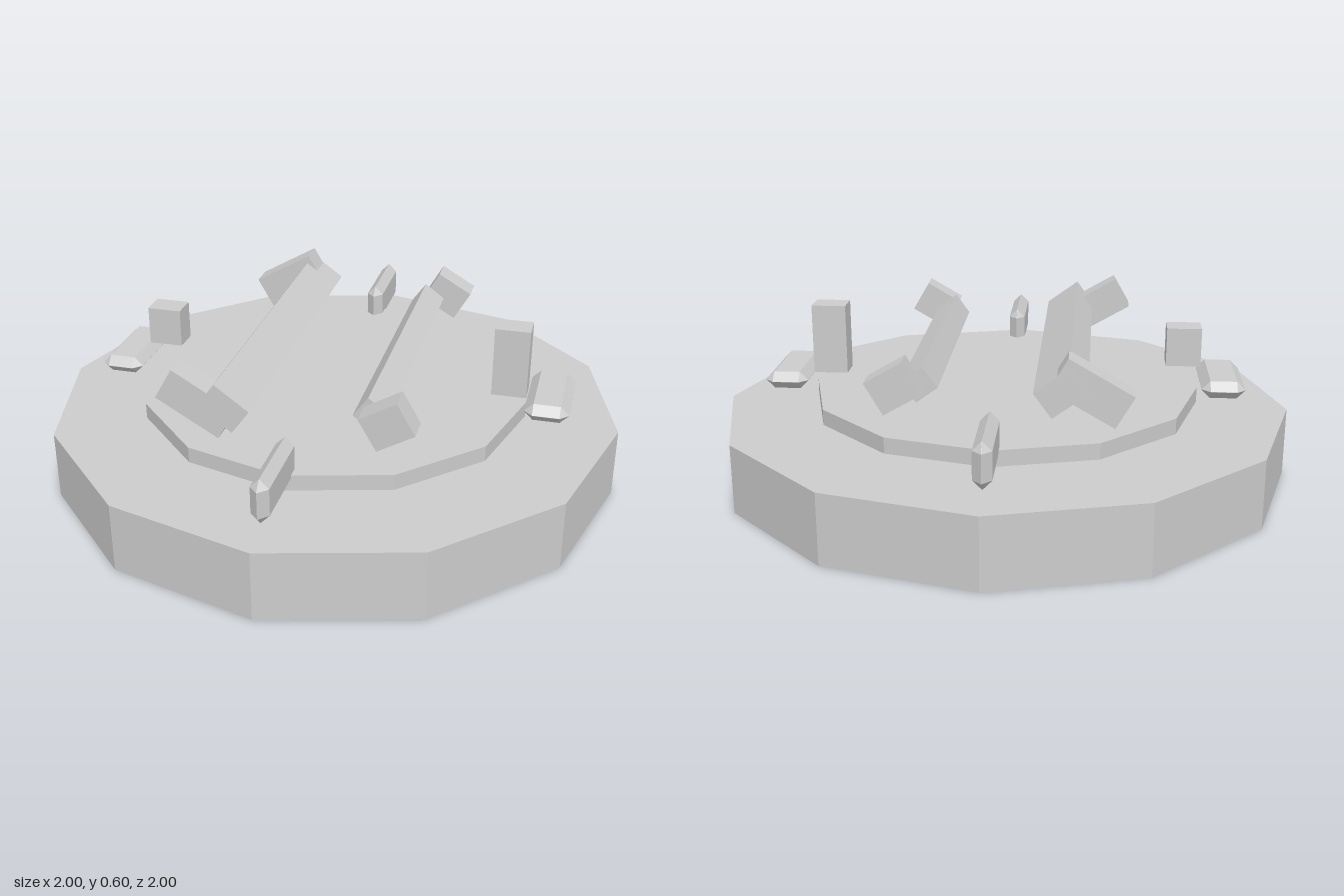
import * as THREE from 'three';
import { ConvexGeometry } from 'three/addons/geometries/ConvexGeometry.js';

const grey = new THREE.MeshStandardMaterial({ color: 0xcccccc });
grey.name = 'plain grey';

export function createModel() {
  const model = new THREE.Group();
  model.name = 'roundPlatform';

  function add(name, geometry, x, y, z, tilt = 0) {
    const mesh = new THREE.Mesh(geometry, grey);
    mesh.name = name;
    mesh.position.set(x, y, z);
    mesh.rotation.z = THREE.MathUtils.degToRad(tilt);
    model.add(mesh);
  }

  // Faceted twelve-sided disc
  function disc(radius, height) {
    const g = new THREE.CylinderGeometry(radius, radius, height, 12).toNonIndexed();
    g.computeVertexNormals();
    return g;
  }

  // Box with every edge chamfered by r
  function chamferedBox(w, h, d, r) {
    const points = [];
    for (const sx of [-1, 1]) for (const sy of [-1, 1]) for (const sz of [-1, 1]) {
      const x = w / 2 - r, y = h / 2 - r, z = d / 2 - r;
      for (const [a, b, c] of [[r, 0, 0], [0, r, 0], [0, 0, r]]) {
        points.push(new THREE.Vector3(sx * (x + a), sy * (y + b), sz * (z + c)));
      }
    }
    return new ConvexGeometry(points);
  }

  // Base and the thin plate hovering above it
  add('base', disc(1, 0.24), 0, 0.12, 0);
  add('upperPlate', disc(0.68, 0.054), 0, 0.288, 0);

  // Chamfered pads around the rim: flat at the sides, upright at front and back
  for (const s of [-1, 1]) {
    add(s > 0 ? 'leftPad' : 'rightPad', chamferedBox(0.15, 0.06, 0.32, 0.0295), s * 0.76, 0.35, 0);
    add(s > 0 ? 'frontPad' : 'backPad', chamferedBox(0.06, 0.15, 0.32, 0.0295), 0, 0.35, s * 0.76);
  }

  // Side posts
  add('rightPost', new THREE.BoxGeometry(0.12, 0.135, 0.09), -0.625, 0.473, 0);
  add('leftPost', new THREE.BoxGeometry(0.12, 0.245, 0.09), 0.622, 0.476, 0);

  // Long tilted bars
  add('rightBar', new THREE.BoxGeometry(0.14, 0.1, 1.18), -0.215, 0.473, 0, -36);
  add('leftBar', new THREE.BoxGeometry(0.087, 0.085, 0.97), 0.24, 0.458, 0, -36);

  // Tilted blocks at the bar ends, leaning opposite ways front and back
  for (const s of [-1, 1]) {
    const end = s > 0 ? 'Front' : 'Back';
    add('right' + end + 'Block', new THREE.BoxGeometry(0.24, 0.12, 0.09), -0.311, 0.473, s * 0.538, -30 * s);
    add('left' + end + 'Block', new THREE.BoxGeometry(0.14, 0.12, 0.09), 0.31, 0.473, s * 0.538, 30 * s);
  }

  return model;
}
